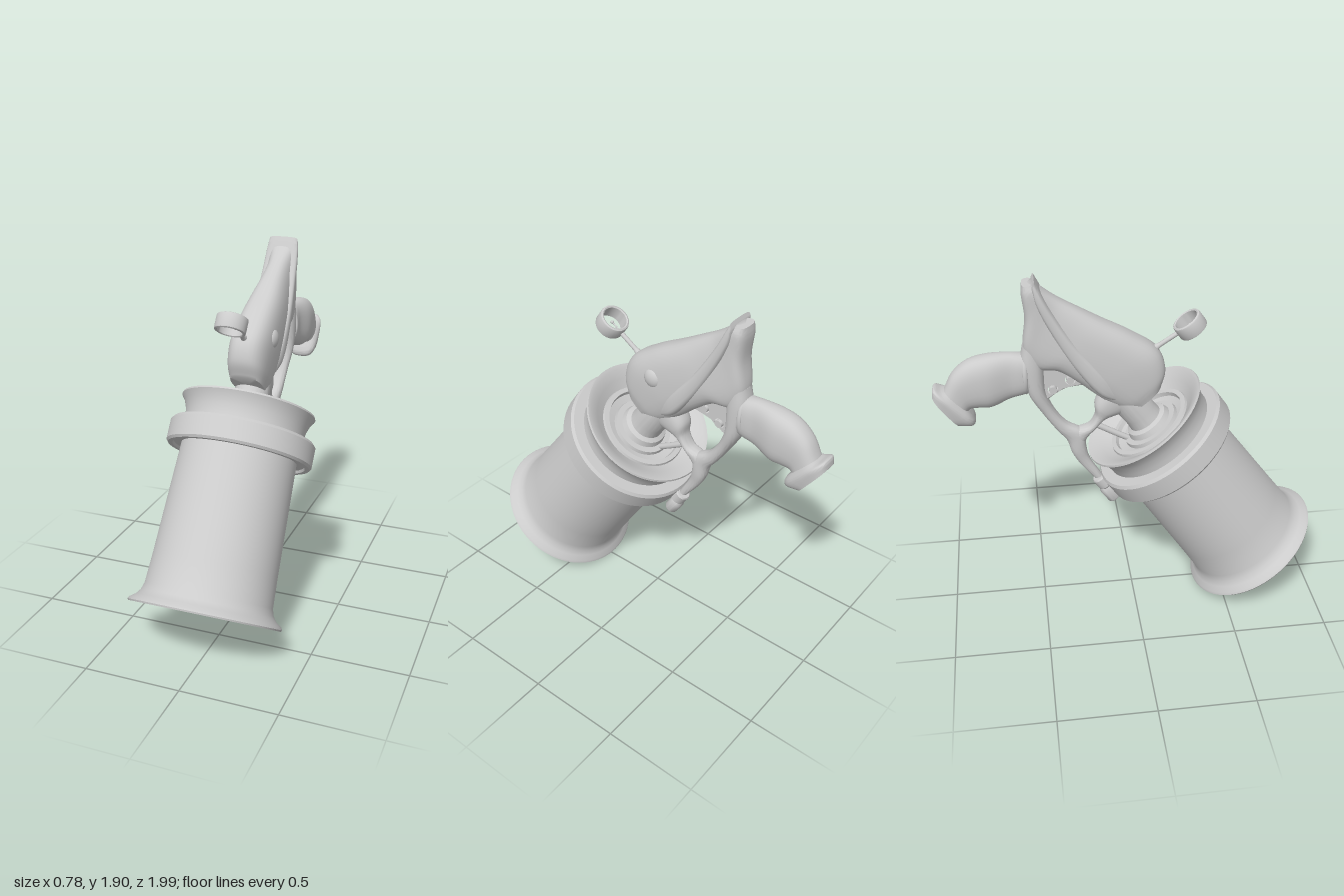
import * as THREE from 'three';
import { toCreasedNormals } from 'three/addons/utils/BufferGeometryUtils.js';

const material = new THREE.MeshStandardMaterial({ color: 0xcccccc });

function add(parent, name, geometry, position = [0, 0, 0]) {
  const mesh = new THREE.Mesh(geometry, material);
  mesh.name = name;
  mesh.position.set(...position);
  parent.add(mesh);
  return mesh;
}

// Lofts rounded sections; each is [z1, y1, z2, y2, halfWidth], spanning two edge points in the side plane.
function loft(sections, { power = 2.4, steps = 6, sides = 32, crease = 0.8 } = {}) {
  const edgeA = new THREE.CatmullRomCurve3(sections.map((s) => new THREE.Vector3(s[4], s[1], s[0])));
  const edgeB = new THREE.CatmullRomCurve3(sections.map((s) => new THREE.Vector3(0, s[3], s[2])));
  const n = (sections.length - 1) * steps;
  const pos = [], index = [], centres = [], spans = [];
  const round = (v) => Math.sign(v) * Math.abs(v) ** (2 / power);
  for (let i = 0; i <= n; i++) {
    const a = edgeA.getPoint(i / n), b = edgeB.getPoint(i / n);
    const w = a.x;
    a.x = 0;
    const c = a.clone().add(b).multiplyScalar(0.5);
    const e = b.sub(a).multiplyScalar(0.5);
    centres.push(c);
    spans.push(e);
    for (let j = 0; j < sides; j++) {
      const t = (j / sides) * Math.PI * 2;
      const k = round(Math.cos(t));
      pos.push(w * round(Math.sin(t)), c.y + e.y * k, c.z + e.z * k);
    }
  }
  // choose the winding from the sweep direction
  const m = n >> 1;
  const along = centres[m + 1].clone().sub(centres[m]);
  const flip = spans[m].clone().cross(new THREE.Vector3(1, 0, 0)).dot(along) < 0;
  const tri = (a, b, c) => (flip ? index.push(a, c, b) : index.push(a, b, c));
  for (let i = 0; i < n; i++) {
    for (let j = 0; j < sides; j++) {
      const a = i * sides + j, b = i * sides + ((j + 1) % sides);
      tri(a, b, a + sides);
      tri(b, b + sides, a + sides);
    }
  }
  // end caps
  const first = (n + 1) * sides;
  pos.push(...centres[0].toArray(), ...centres[n].toArray());
  for (let j = 0; j < sides; j++) {
    const k = (j + 1) % sides;
    tri(first, k, j);
    tri(first + 1, n * sides + j, n * sides + k);
  }
  const g = new THREE.BufferGeometry();
  g.setAttribute('position', new THREE.Float32BufferAttribute(pos, 3));
  g.setIndex(index);
  return toCreasedNormals(g, crease);
}

function lathe(profile, sides = 72) {
  const g = new THREE.LatheGeometry(profile.map(([r, y]) => new THREE.Vector2(r, y)), sides);
  return toCreasedNormals(g, 0.6);
}

function rod(points, radius) {
  const curve = new THREE.CatmullRomCurve3(points.map((p) => new THREE.Vector3(...p)));
  return new THREE.TubeGeometry(curve, 16, radius, 12);
}

export function createModel() {
  const model = new THREE.Group();

  // Tilted barrel assembly: local y runs back along the bore, local z is the barrel's upper side
  const barrel = new THREE.Group();
  barrel.name = 'barrelAssembly';
  barrel.position.set(0, 0.225, 0.68);
  barrel.rotation.x = -0.613;
  model.add(barrel);

  // Bore, flared mouth and outer wall
  add(barrel, 'barrel', lathe([
    [0, 0.9], [0.25, 0.9], [0.255, 0.07], [0.262, 0.046], [0.29, 0.034], [0.33, 0.02], [0.37, 0.003],
    [0.385, 0], [0.39, 0.008], [0.383, 0.02], [0.355, 0.04], [0.336, 0.065], [0.325, 0.1], [0.318, 0.25],
    [0.3, 0.83],
  ]));
  add(barrel, 'collar', lathe([
    [0.29, 0.83], [0.34, 0.83], [0.345, 0.816], [0.368, 0.816], [0.378, 0.828], [0.378, 0.93], [0.366, 0.945], [0.3, 0.945],
  ]));
  // Rear flange with a stepped dish and the neck to the body
  add(barrel, 'rearDish', lathe([
    [0.31, 0.94], [0.31, 0.97], [0.317, 1.01], [0.332, 1.05], [0.35, 1.075], [0.346, 1.085], [0.325, 1.08],
    [0.28, 1.05], [0.235, 1.02], [0.23, 1.032], [0.205, 1.032], [0.2, 1.01], [0.16, 1.0], [0.155, 1.02],
    [0.125, 1.02], [0.115, 1.05], [0.092, 1.06], [0.088, 1.11], [0.092, 1.16], [0.085, 1.25], [0, 1.25],
  ]));

  // Ring sight on its stem
  add(barrel, 'sightRing', lathe([
    [0.062, 0.036], [0.062, -0.036], [0.068, -0.04], [0.076, -0.036], [0.078, -0.03],
    [0.078, 0.03], [0.076, 0.036], [0.068, 0.04], [0.062, 0.036],
  ], 40), [0, 1.356, 0.48]);
  add(barrel, 'sightStem', rod([[0, 1.36, 0.15], [0, 1.36, 0.28], [0, 1.356, 0.41]], 0.012));
  const foot = add(barrel, 'sightStemFoot', new THREE.CylinderGeometry(0.012, 0.03, 0.08, 16), [0, 1.36, 0.26]);
  foot.rotation.x = Math.PI / 2;
  add(barrel, 'sightPin', rod([[0, 1.356, 0.41], [0, 1.356, 0.48]], 0.004));
  add(barrel, 'sightBead', new THREE.SphereGeometry(0.009, 12, 8), [0, 1.356, 0.48]);

  // Lower fastener and linkage
  add(barrel, 'lowerNut', lathe([[0, -0.036], [0.036, -0.036], [0.042, -0.028], [0.042, 0.028], [0.036, 0.036], [0, 0.036]], 24), [0, 0.885, -0.4]);
  add(barrel, 'lowerPlug', lathe([[0, -0.05], [0.03, -0.05], [0.036, -0.04], [0.036, 0.035], [0.026, 0.06], [0, 0.06]], 24), [0, 0.8, -0.415]);
  add(barrel, 'linkageRod', rod([[0, 1.19, -0.22], [0, 1.076, -0.167], [0, 0.99, -0.125]], 0.016));

  // Main body, rising from the neck to the hammer top
  add(model, 'body', loft([
    [0.15, 1.30, 0.0, 1.17, 0.085], [0.17, 1.39, -0.075, 1.19, 0.1], [0.135, 1.49, -0.19, 1.27, 0.108],
    [0.005, 1.585, -0.27, 1.34, 0.106], [-0.14, 1.665, -0.38, 1.415, 0.096], [-0.26, 1.735, -0.48, 1.43, 0.083],
    [-0.345, 1.785, -0.535, 1.52, 0.073], [-0.41, 1.83, -0.52, 1.70, 0.07],
    [-0.45, 1.86, -0.53, 1.83, 0.068], [-0.475, 1.88, -0.525, 1.876, 0.055],
  ], { power: 2.8 }));

  // Raised spine plate that wraps over both sides
  add(model, 'spinePlate', loft([
    [-0.06, 1.285, -0.075, 1.235, 0.085], [-0.155, 1.425, -0.16, 1.275, 0.112], [-0.29, 1.59, -0.275, 1.415, 0.109],
    [-0.395, 1.76, -0.375, 1.585, 0.096], [-0.45, 1.872, -0.46, 1.77, 0.086], [-0.465, 1.9, -0.48, 1.865, 0.078],
  ], { power: 3.6 }));

  // Round boss on the left side only
  const boss = add(model, 'sideBoss', new THREE.SphereGeometry(0.052, 24, 16), [0.09, 1.457, -0.043]);
  boss.scale.x = 0.6;

  // Rear column running down into the trigger guard strut
  add(model, 'rearStrut', loft([
    [-0.44, 1.51, -0.54, 1.555, 0.06], [-0.44, 1.395, -0.555, 1.46, 0.065], [-0.435, 1.285, -0.525, 1.29, 0.06],
    [-0.395, 1.18, -0.46, 1.17, 0.046], [-0.335, 1.1, -0.385, 1.055, 0.04], [-0.245, 1.04, -0.34, 0.995, 0.04],
    [-0.24, 0.955, -0.315, 0.915, 0.038], [-0.225, 0.88, -0.28, 0.85, 0.03], [-0.16, 0.76, -0.2, 0.745, 0.025],
  ]));
  add(model, 'guardFront', loft([
    [-0.14, 1.3, -0.02, 1.15, 0.075], [-0.19, 1.21, -0.105, 1.125, 0.06], [-0.19, 1.135, -0.145, 1.105, 0.045],
    [-0.225, 1.077, -0.19, 1.055, 0.04], [-0.285, 1.06, -0.235, 1.0, 0.04], [-0.33, 1.03, -0.25, 0.955, 0.036],
  ]));

  // Trigger plate with two round openings and rollers
  const plate = new THREE.Shape([
    [0.25, 1.33], [0.27, 1.4], [0.36, 1.44], [0.46, 1.42], [0.46, 1.25], [0.42, 1.265], [0.35, 1.31],
  ].map((p) => new THREE.Vector2(...p)));
  const openings = [[0.312, 1.356], [0.4, 1.305]];
  for (const [z, y] of openings) {
    plate.holes.push(new THREE.Path().absarc(z, y, 0.027, 0, Math.PI * 2, true));
    const roller = add(model, 'triggerRoller', new THREE.CylinderGeometry(0.02, 0.02, 0.07, 20), [0, y, -z]);
    roller.rotation.z = Math.PI / 2;
  }
  const plateGeometry = new THREE.ExtrudeGeometry(plate, { depth: 0.05, bevelEnabled: false, curveSegments: 16 });
  plateGeometry.translate(0, 0, -0.025);
  add(model, 'triggerPlate', plateGeometry).rotation.y = Math.PI / 2;
  add(model, 'triggerBar', rod([[0, 1.33, -0.24], [0, 1.315, -0.34], [0, 1.275, -0.41], [0, 1.24, -0.45]], 0.016));

  // Grip with a narrow neck and a flared butt
  add(model, 'grip', loft([
    [-0.5, 1.5, -0.5, 1.3, 0.06], [-0.56, 1.51, -0.55, 1.285, 0.062], [-0.61, 1.515, -0.61, 1.27, 0.06],
    [-0.72, 1.51, -0.71, 1.23, 0.079], [-0.815, 1.485, -0.77, 1.23, 0.077], [-0.89, 1.425, -0.815, 1.225, 0.069],
    [-0.94, 1.335, -0.835, 1.2, 0.066],
  ], { power: 2.6 }));
  add(model, 'butt', loft([
    [-0.925, 1.335, -0.805, 1.195, 0.066], [-0.955, 1.34, -0.795, 1.16, 0.078],
    [-0.99, 1.352, -0.805, 1.137, 0.081], [-1.0, 1.31, -0.875, 1.137, 0.07],
  ], { power: 3.2 }));

  // Raised ring where the grip meets the body
  const band = add(model, 'gripBand', new THREE.TorusGeometry(1, 0.12, 12, 40), [0, 1.4, -0.535]);
  band.scale.set(0.062, 0.105, 0.1);

  return model;
}
